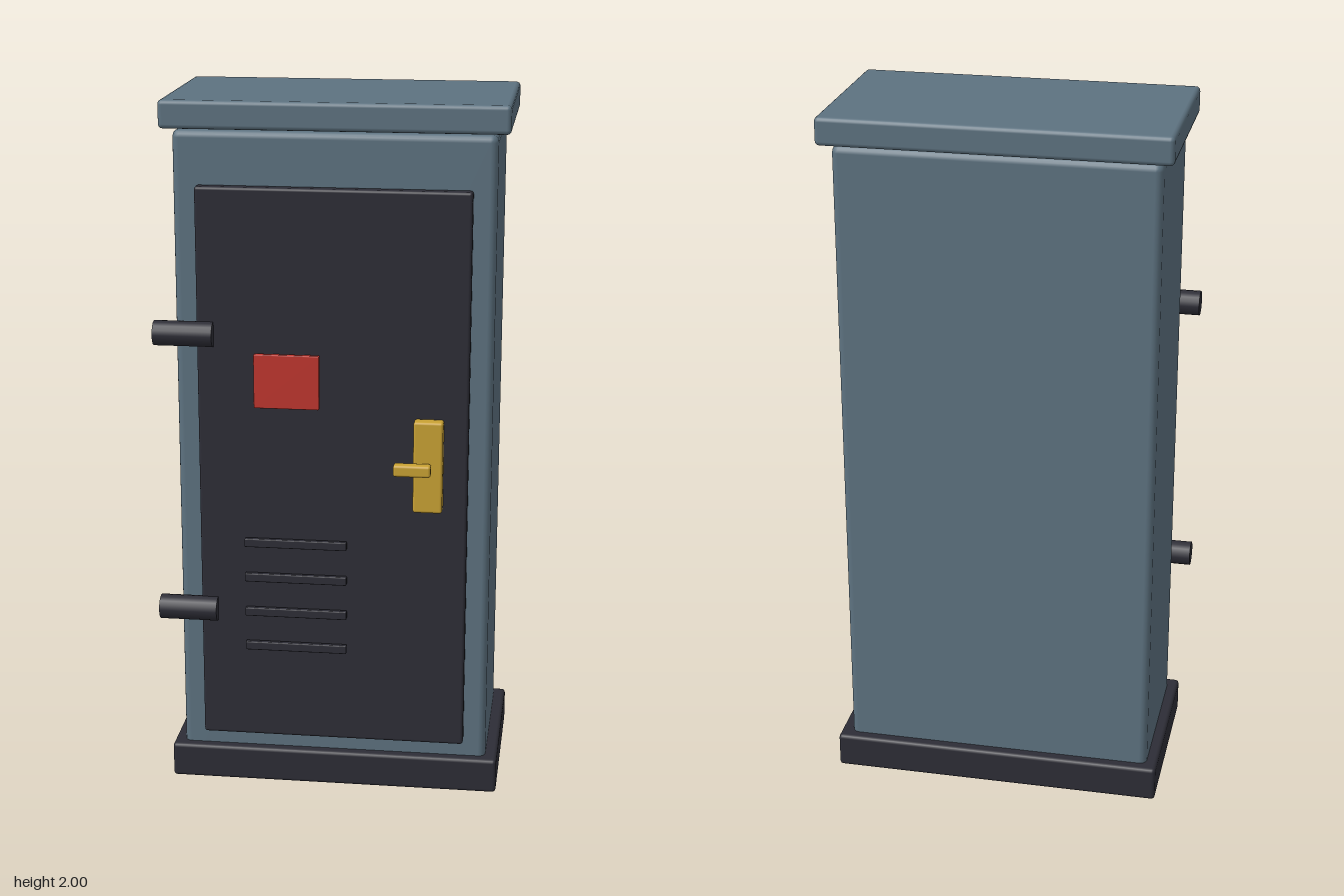
import * as THREE from 'three';
import { RoundedBoxGeometry } from 'three/addons/geometries/RoundedBoxGeometry.js';

function material(name, color) {
  const m = new THREE.MeshStandardMaterial({ color });
  m.name = name;
  return m;
}

export function createModel() {
  const slate = material('slate', 0x5d7280);
  const charcoal = material('charcoal', 0x2d2d36);
  const red = material('red', 0xc0362e);
  const brass = material('brass', 0xcaa233);
  const model = new THREE.Group();
  model.name = 'cabinet';

  // Softly bevelled box given by its extents on each axis
  function box(name, mat, [x0, x1], [y0, y1], [z0, z1], bevel) {
    const geo = new RoundedBoxGeometry(x1 - x0, y1 - y0, z1 - z0, 2, bevel);
    const mesh = new THREE.Mesh(geo, mat);
    mesh.name = name;
    mesh.position.set((x0 + x1) / 2, (y0 + y1) / 2, (z0 + z1) / 2);
    model.add(mesh);
    return mesh;
  }

  // Casing: body, overhanging cap and plinth
  const wide = [-0.45, 0.467], deep = [-0.296, 0.212];
  box('body', slate, [-0.42, 0.434], [0.08, 1.92], [-0.266, 0.184], 0.02);
  box('cap', slate, wide, [1.925, 2], deep, 0.012);
  box('plinth', charcoal, wide, [0.082, 0.18], deep, 0.01);

  // Feet
  for (const x of [-0.332, 0.348]) {
    box('foot', charcoal, [x - 0.057, x + 0.057], [0, 0.09], [-0.117, 0.04], 0.006);
  }

  // Door with label plate
  box('door', charcoal, [-0.356, 0.373], [0.228, 1.778], [0.182, 0.22], 0.008);
  box('labelPlate', red, [-0.2, -0.024], [1.19, 1.338], [0.23, 0.245], 0.003);

  // Louvre slats
  for (let i = 0; i < 4; i++) {
    const y = 0.504 + i * 0.1005;
    box('ventSlat', charcoal, [-0.231, 0.049], [y - 0.012, y + 0.012], [0.225, 0.241], 0.003);
  }

  // Handle plate and lever
  box('handlePlate', brass, [0.229, 0.308], [0.917, 1.17], [0.218, 0.257], 0.007);
  box('handleLever', brass, [0.179, 0.279], [1.028, 1.06], [0.263, 0.295], 0.007);

  // Hinge barrels
  for (const y of [0.603, 1.384]) {
    const hinge = new THREE.Mesh(new THREE.CylinderGeometry(0.034, 0.034, 0.16, 16), charcoal);
    hinge.name = 'hinge';
    hinge.rotation.z = Math.PI / 2;
    hinge.position.set(-0.39, y, 0.222);
    model.add(hinge);
  }

  return model;
}
